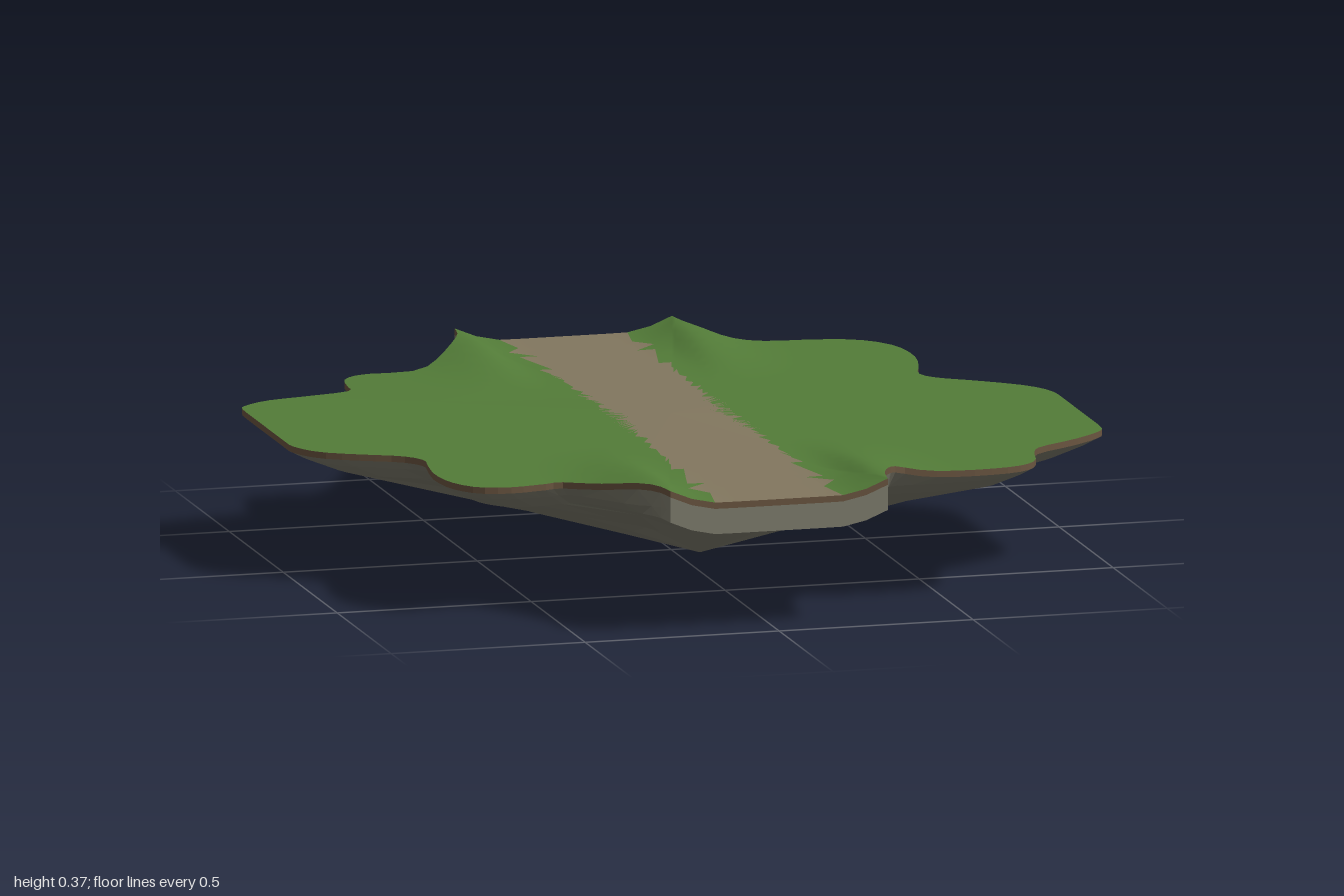
import * as THREE from 'three';

const { smoothstep, lerp } = THREE.MathUtils;
const APEX = [0.06, 0, 0.05];

// Outline of the island, clockwise seen from above: two wavy banks and two straight ends
function makeOutline() {
  const right = [[.28, -1], [.292, -.93], [.32, -.86], [.365, -.802], [.46, -.8], [.59, -.797], [.7, -.76], [.765, -.67], [.777, -.54],
    [.755, -.42], [.73, -.33], [.76, -.27], [.85, -.21], [.95, -.13], [.995, -.05], [1, .05], [1, .2], [1, .38], [.98, .44],
    [.9, .51], [.79, .58], [.758, .64], [.735, .73], [.68, .78], [.58, .797], [.46, .798], [.365, .798], [.32, .86], [.292, .93], [.28, 1]];
  const left = [[-.28, 1], [-.296, .92], [-.36, .81], [-.46, .685], [-.52, .683], [-.6, .692], [-.68, .67], [-.73, .6], [-.747, .5],
    [-.738, .4], [-.73, .33], [-.77, .27], [-.86, .22], [-.95, .16], [-.995, .08], [-1, 0], [-1, -.2], [-1, -.37], [-.98, -.42],
    [-.91, -.465], [-.8, -.485], [-.69, -.51], [-.677, -.57], [-.66, -.65], [-.6, -.695], [-.46, -.695], [-.36, -.81], [-.296, -.92], [-.28, -1]];
  const points = [];
  const bank = (list) => {
    const curve = new THREE.SplineCurve(list.map(([x, z]) => new THREE.Vector2(x, z)));
    points.push(...curve.getPoints(72).map((p) => [THREE.MathUtils.clamp(p.x, -1, 1), p.y]));
  };
  const end = (dir) => {
    for (const x of [.225, .165, .11, .055, 0, -.055, -.11, -.165, -.225]) points.push([x * dir, dir]);
  };
  bank(right); end(1); bank(left); end(-1);
  return points;
}

// Ground height: nearly flat, with banks rising beside the path toward both ends
function groundY(x, z) {
  const d = Math.abs(x) - 0.28;
  const ridge = Math.exp(-((d / (d > 0 ? 0.11 : 0.055)) ** 2));
  return 0.335 + 0.012 * Math.max(0, 1 - Math.hypot(x, z)) + 0.036 * ridge * smoothstep(Math.abs(z), 0.3, 0.9);
}

// Joins rings of equal length; each ring is a list of [x, y, z]
function loft(rings) {
  const n = rings[0].length;
  const index = [];
  for (let r = 0; r < rings.length - 1; r++) {
    for (let i = 0; i < n; i++) {
      const a = r * n + i, b = r * n + (i + 1) % n, c = a + n, d = b + n;
      index.push(...((r + i) % 2 ? [a, b, c, b, d, c] : [a, b, d, a, d, c]));
    }
  }
  const geo = new THREE.BufferGeometry();
  geo.setAttribute('position', new THREE.Float32BufferAttribute(rings.flat(2), 3));
  geo.setIndex(index);
  geo.computeVertexNormals();
  return geo;
}

function addMesh(group, name, geo, color, flatShading = false) {
  const mesh = new THREE.Mesh(geo, new THREE.MeshStandardMaterial({ color, flatShading }));
  mesh.name = name;
  group.add(mesh);
}

export function createModel() {
  const group = new THREE.Group();
  group.name = 'floatingIsland';
  const outline = makeOutline();

  // Ground surface, split into grass and path by face position
  const steps = 18;
  const topRings = [];
  for (let k = 0; k <= steps; k++) {
    const s = Math.max(k / steps, 0.001);
    topRings.push(outline.map(([x, z]) => [x * s, groundY(x * s, z * s), z * s]));
  }
  const ground = loft(topRings);
  const pos = ground.attributes.position;
  const grassFaces = [], pathFaces = [];
  for (let i = 0; i < ground.index.count; i += 3) {
    const face = [0, 1, 2].map((k) => ground.index.getX(i + k));
    const x = face.reduce((sum, v) => sum + pos.getX(v), 0) / 3;
    const z = face.reduce((sum, v) => sum + pos.getZ(v), 0) / 3;
    (Math.abs(x) < 0.14 + 0.025 * Math.abs(z) ? pathFaces : grassFaces).push(...face);
  }
  const subset = (faces) => ground.clone().setIndex(faces);
  addMesh(group, 'grass', subset(grassFaces), 0x537c38);
  addMesh(group, 'path', subset(pathFaces), 0x82775f);

  // Thin soil band along the rim
  const rim = outline.map(([x, z]) => [x, groundY(x, z), z]);
  const soilBase = rim.map(([x, y, z]) => [x, y - 0.016, z]);
  addMesh(group, 'soilBand', loft([rim, soilBase]), 0x6a5540, true);

  // Faceted rock: steep wall, then a shallow cone down to the tip.
  // Inner rings share points in groups of "chunk", so the facets grow broader.
  const ring = (sideScale, sideY, endScale, endY, endStart, chunk, jitter) => soilBase.map((_, i) => {
    const k = i - i % chunk;
    const [x, y, z] = soilBase[k];
    const e = smoothstep(Math.abs(z), endStart, 0.98);
    const wobble = Math.sin(k * 12.9 + sideScale * 40);
    const s = lerp(sideScale, endScale, e) + 3 * jitter * wobble;
    const rise = (y - 0.319) * e * endScale;
    return [
      APEX[0] + (x - APEX[0]) * s,
      lerp(sideY, endY, e) + rise + jitter * Math.sin(k * 7.3 + sideScale * 20),
      APEX[2] + (z - APEX[2]) * s,
    ];
  });
  const rockRings = [
    soilBase,
    ring(0.965, 0.3, 1, 0.285, 0.8, 1, 0),
    ring(0.89, 0.268, 1, 0.255, 0.8, 1, 0),
    ring(0.6, 0.19, 0.65, 0.195, 0.6, 4, 0.009),
    ring(0.27, 0.092, 0.29, 0.127, 0.5, 4, 0.007),
    soilBase.map(() => APEX),
  ];
  addMesh(group, 'rockUnderside', loft(rockRings), 0x7f7d6e, true);
  return group;
}
